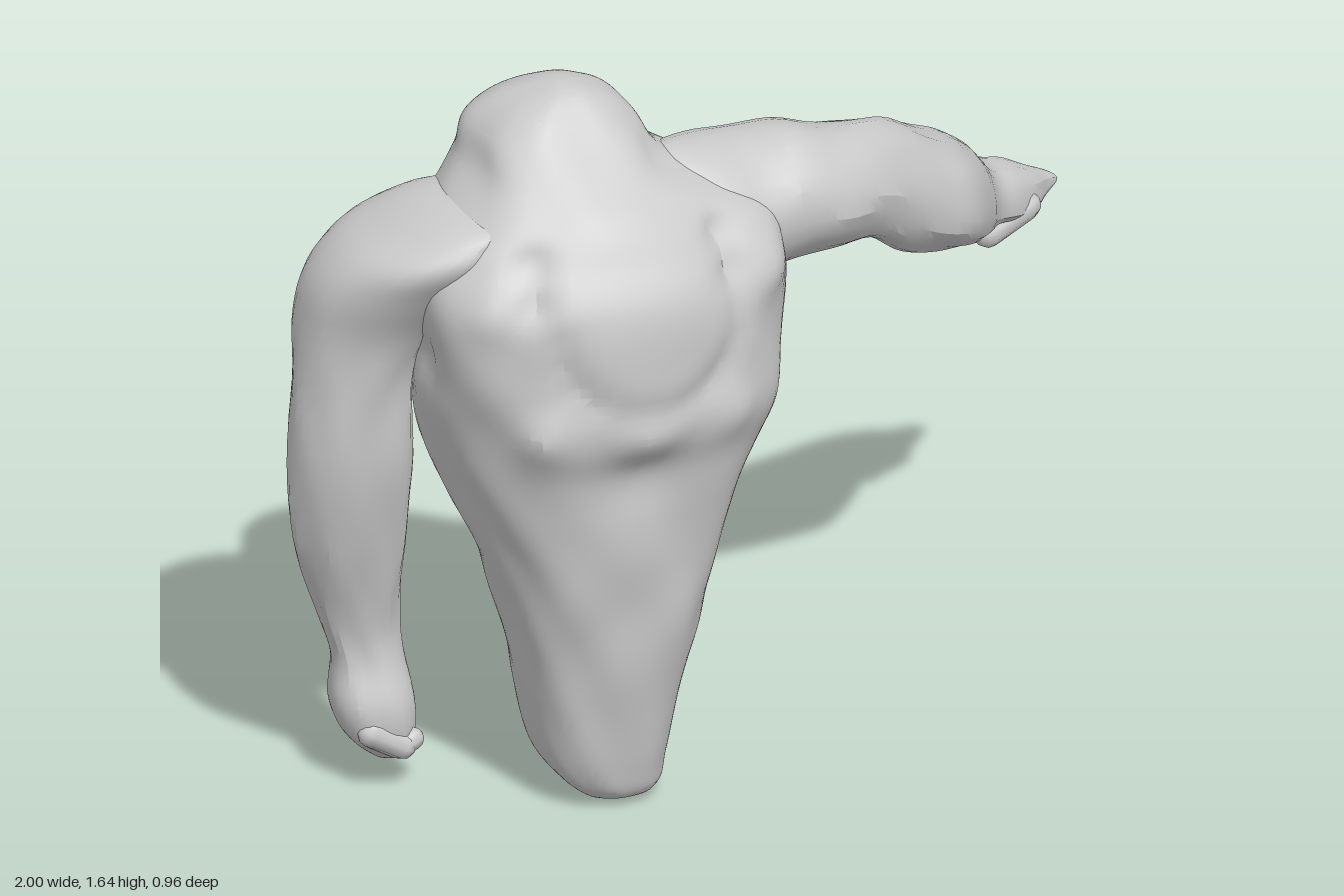
import * as THREE from 'three';
import { toCreasedNormals } from 'three/addons/utils/BufferGeometryUtils.js';

const material = new THREE.MeshStandardMaterial({ color: 0xcccccc, side: THREE.DoubleSide });

// Closed body lofted along 'x' or 'y'. Keys: [t, a0, a1, b0, b1], the extents of each section
// (a, b = x, z along y; z, y along x). Bumps: [x, y, z, radius, outward amount].
function loft(name, axis, keys, { segs = 26, rings = 46, power = 2, bumps = [], folds = 0.003 } = {}) {
  const curveA = new THREE.CatmullRomCurve3(keys.map(k => new THREE.Vector3(k[0], k[1], k[2])), false, 'catmullrom', 0.5);
  const curveB = new THREE.CatmullRomCurve3(keys.map(k => new THREE.Vector3(k[3], k[4], 0)), false, 'catmullrom', 0.5);
  const pos = [], index = [];
  const place = (t, a, b) => axis === 'y' ? new THREE.Vector3(a, t, b) : new THREE.Vector3(t, b, a);
  const shape = v => Math.sign(v) * Math.pow(Math.abs(v), 2 / power);
  for (let r = 0; r <= rings; r++) {
    const A = curveA.getPoint(r / rings), B = curveB.getPoint(r / rings);
    const centre = place(A.x, (A.y + A.z) / 2, (B.x + B.y) / 2);
    const fade = Math.sin(Math.PI * r / rings);
    for (let s = 0; s < segs; s++) {
      const w = (s + 0.5) / segs * Math.PI * 2;
      const p = place(A.x, (A.y + A.z) / 2 + (A.z - A.y) / 2 * shape(Math.cos(w)),
        (B.x + B.y) / 2 + (B.y - B.x) / 2 * shape(Math.sin(w)));
      const out = p.clone().sub(centre).normalize();
      let d = folds * fade * (Math.sin(w * 5 + A.x * 5 + Math.sin(A.x * 13)) + 0.6 * Math.sin(w * 8 - A.x * 17));
      for (const [x, y, z, rad, amt] of bumps) {
        const q = ((p.x - x) ** 2 + (p.y - y) ** 2 + (p.z - z) ** 2) / (rad * rad);
        d += amt * Math.exp(-q);
      }
      p.addScaledVector(out, d);
      pos.push(p.x, p.y, p.z);
      if (r < rings) {
        const i = r * segs + s, j = r * segs + (s + 1) % segs;
        index.push(i, i + segs, j, j, i + segs, j + segs);
      }
    }
  }
  const geo = new THREE.BufferGeometry();
  geo.setAttribute('position', new THREE.Float32BufferAttribute(pos, 3));
  geo.setIndex(index);
  const mesh = new THREE.Mesh(toCreasedNormals(geo, 0.4), material);
  mesh.name = name;
  return mesh;
}

// Finger between two points
function finger(name, from, to, radius) {
  const a = new THREE.Vector3(...from), b = new THREE.Vector3(...to);
  const dir = b.clone().sub(a);
  const mesh = new THREE.Mesh(new THREE.CapsuleGeometry(radius, dir.length(), 3, 8), material);
  mesh.position.copy(a).add(b).multiplyScalar(0.5);
  mesh.quaternion.setFromUnitVectors(new THREE.Vector3(0, 1, 0), dir.normalize());
  mesh.name = name;
  return mesh;
}

// The same bump on both sides of the spine
const CENTRE = -0.38;
const pair = (dx, y, z, radius, amount) =>
  [-1, 1].map(side => [CENTRE + side * dx, y, z, radius, amount]);

export function createModel() {
  const model = new THREE.Group();
  model.name = 'figure';

  // Groove framing the oval swell of the upper back
  const groove = [];
  for (let i = 0; i <= 10; i++) {
    const w = Math.PI * (1 + i / 10);
    groove.push([-0.36 + 0.22 * Math.cos(w), 1.2 + 0.19 * Math.sin(w), 0.44, 0.035, -0.014]);
  }

  // Tapering body, broad chest and bowed head in one skin
  model.add(loft('torsoAndHead', 'y', [
    [0.0, -0.335, -0.335, 0.19, 0.19],
    [0.025, -0.42, -0.25, 0.11, 0.26],
    [0.1, -0.49, -0.22, 0.01, 0.29],
    [0.25, -0.53, -0.19, -0.03, 0.32],
    [0.4, -0.56, -0.15, -0.05, 0.35],
    [0.6, -0.62, -0.11, -0.07, 0.38],
    [0.72, -0.67, -0.06, -0.12, 0.395],
    [0.84, -0.715, 0.0, -0.18, 0.415],
    [0.95, -0.74, 0.03, -0.22, 0.45],
    [1.1, -0.77, 0.04, -0.21, 0.455],
    [1.25, -0.78, 0.04, -0.17, 0.44],
    [1.35, -0.75, 0.02, -0.155, 0.39],
    [1.42, -0.68, -0.1, -0.155, 0.345],
    [1.48, -0.625, -0.205, -0.155, 0.285],
    [1.55, -0.595, -0.24, -0.14, 0.21],
    [1.6, -0.54, -0.29, -0.08, 0.165],
    [1.635, -0.46, -0.36, 0.0, 0.12],
    [1.645, -0.41, -0.41, 0.06, 0.06],
  ], {
    segs: 80, rings: 120, power: 2.45, folds: 0.006,
    bumps: [
      ...groove,
      [-0.36, 1.22, 0.46, 0.14, 0.015],
      ...pair(0.24, 1.36, 0.36, 0.05, -0.03), ...pair(0.25, 1.28, 0.4, 0.05, -0.03), // shoulder hollows
      ...pair(0.33, 1.25, 0.36, 0.06, 0.02),                     // shoulder blades
      ...pair(0.22, 0.97, 0.42, 0.06, 0.025),                    // lowest ribs
      [-0.37, 0.93, 0.46, 0.06, 0.025], [-0.37, 0.84, 0.43, 0.09, -0.02],
      ...pair(0.15, 1.07, -0.22, 0.1, 0.045),                    // chest
      [CENTRE + 0.04, 1.1, -0.22, 0.05, -0.02],
      [-0.52, 0.95, -0.2, 0.13, 0.03], [-0.52, 0.96, -0.22, 0.04, -0.06], // knot below it
      [0.0, 1.15, -0.13, 0.13, 0.04],                            // flank by the raised arm
      [-0.35, 1.44, -0.16, 0.08, -0.06], [-0.34, 1.32, -0.16, 0.08, -0.06], // hollow face
      [-0.12, 1.36, -0.1, 0.07, -0.04], [-0.56, 1.36, -0.13, 0.06, -0.03], // sides of the neck
      ...pair(0.4, 1.08, 0.12, 0.07, -0.03),                     // armpits
    ],
  }));

  // Outstretched arm running into the pointing finger
  model.add(loft('leftArm', 'x', [
    [-0.26, 0.12, 0.12, 1.4, 1.4],
    [-0.2, 0.04, 0.21, 1.28, 1.47],
    [-0.1, -0.06, 0.27, 1.18, 1.465],
    [0.0, -0.1, 0.27, 1.15, 1.45],
    [0.1, -0.06, 0.26, 1.165, 1.46],
    [0.2, -0.065, 0.24, 1.165, 1.425],
    [0.3, -0.09, 0.19, 1.15, 1.4],
    [0.4, -0.14, 0.13, 1.075, 1.365],
    [0.5, -0.2, 0.08, 1.03, 1.3],
    [0.6, -0.28, 0.02, 1.0, 1.235],
    [0.7, -0.37, -0.13, 0.95, 1.14],
    [0.78, -0.45, -0.27, 0.905, 1.05],
    [0.85, -0.475, -0.32, 0.885, 1.02],
    [0.91, -0.475, -0.37, 0.885, 0.985],
    [0.96, -0.485, -0.43, 0.9, 0.955],
    [0.99, -0.485, -0.455, 0.915, 0.935],
    [1.0, -0.47, -0.47, 0.925, 0.925],
  ], { rings: 56, power: 2.1 }));

  const leftHand = new THREE.Group();
  leftHand.name = 'leftHand';
  for (let i = 0; i < 3; i++) {
    const z = -0.335 - i * 0.045;
    leftHand.add(finger('curledFinger', [0.88, 0.925, z - 0.03], [0.775, 0.892, z], 0.032));
  }
  model.add(leftHand);

  // Hanging arm with a full shoulder that merges into the chest
  model.add(loft('rightArm', 'y', [
    [0.05, -0.75, -0.75, -0.08, -0.08],
    [0.07, -0.79, -0.71, -0.12, -0.04],
    [0.12, -0.845, -0.69, -0.16, -0.01],
    [0.2, -0.875, -0.69, -0.18, -0.005],
    [0.3, -0.87, -0.71, -0.17, -0.035],
    [0.4, -0.9, -0.72, -0.17, -0.03],
    [0.6, -0.97, -0.72, -0.16, 0.03],
    [0.8, -0.995, -0.72, -0.14, 0.08],
    [1.0, -0.99, -0.73, -0.15, 0.1],
    [1.13, -0.985, -0.67, -0.18, 0.13],
    [1.24, -0.965, -0.57, -0.19, 0.2],
    [1.32, -0.91, -0.54, -0.17, 0.26],
    [1.37, -0.83, -0.54, -0.13, 0.27],
    [1.41, -0.74, -0.56, -0.06, 0.24],
    [1.43, -0.64, -0.64, 0.08, 0.08],
  ], { segs: 32, rings: 60, power: 2.1 }));

  const rightHand = new THREE.Group();
  rightHand.name = 'rightHand';
  rightHand.add(finger('thumb', [-0.75, 0.2, -0.155], [-0.72, 0.1, -0.16], 0.028));
  for (let i = 0; i < 3; i++) {
    const z = -0.11 + i * 0.04;
    const low = 0.075 + i * 0.012;
    rightHand.add(finger('finger', [-0.81, 0.14, z], [-0.74, low, z], 0.032));
    rightHand.add(finger('fingertip', [-0.74, low, z], [-0.715, 0.11, z], 0.026));
  }
  model.add(rightHand);

  return model;
}
